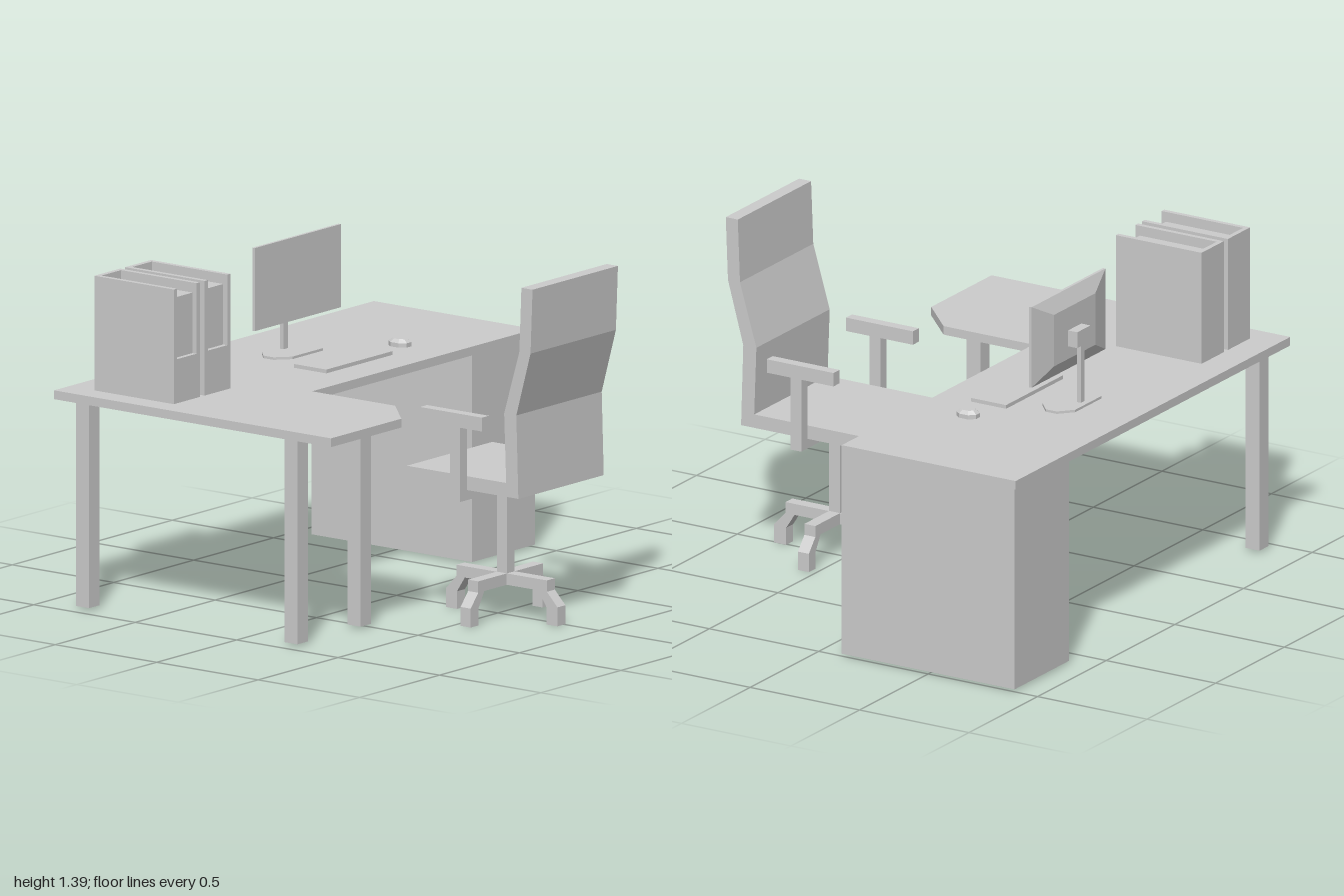
import * as THREE from 'three';

const material = new THREE.MeshStandardMaterial({ color: 0xcccccc, flatShading: true, side: THREE.DoubleSide });

function add(parent, name, geometry) {
  const mesh = new THREE.Mesh(geometry, material);
  mesh.name = name;
  parent.add(mesh);
  return mesh;
}

function group(parent, name) {
  const g = new THREE.Group();
  g.name = name;
  parent.add(g);
  return g;
}

// Box given by its limits on each axis
function box(parent, name, [x0, x1], [y0, y1], [z0, z1]) {
  const geometry = new THREE.BoxGeometry(x1 - x0, y1 - y0, z1 - z0);
  geometry.translate((x0 + x1) / 2, (y0 + y1) / 2, (z0 + z1) / 2);
  return add(parent, name, geometry);
}

function extrude(points, depth) {
  const shape = new THREE.Shape(points.map(([x, y]) => new THREE.Vector2(x, y)));
  return new THREE.ExtrudeGeometry(shape, { depth, bevelEnabled: false });
}

// Flat slab from an outline of [x, z] points
function slab(parent, name, outline, y0, y1) {
  const geometry = extrude(outline.map(([x, z]) => [x, -z]), y1 - y0);
  geometry.rotateX(-Math.PI / 2).translate(0, y0, 0);
  return add(parent, name, geometry);
}

// Rectangle with cut corners, centred on (cx, cz)
function octagon(cx, cz, w, d, cutX, cutZ) {
  const a = w / 2, b = d / 2;
  return [[-a + cutX, -b], [a - cutX, -b], [a, -b + cutZ], [a, b - cutZ],
    [a - cutX, b], [-a + cutX, b], [-a, b - cutZ], [-a, -b + cutZ]].map(([x, z]) => [cx + x, cz + z]);
}

// Scales the top (or back) end of a geometry about a centre
function taper(geometry, test, cx, cy, cz, s) {
  const p = geometry.attributes.position, c = new THREE.Vector3(cx, cy, cz), v = new THREE.Vector3();
  for (let i = 0; i < p.count; i++) {
    v.fromBufferAttribute(p, i);
    if (test(v)) {
      v.sub(c).multiply(s).add(c);
      p.setXYZ(i, v.x, v.y, v.z);
    }
  }
  geometry.computeVertexNormals();
}

function buildDesk(root) {
  const desk = group(root, 'desk');
  slab(desk, 'deskTop', [[-1, -0.9], [1, -0.9], [1, -0.105], [-0.395, -0.105],
    [-0.395, 0.305], [-0.56, 0.465], [-1, 0.465]], 0.83, 0.865);
  box(desk, 'cabinet', [0.605, 1], [0.01, 0.83], [-0.895, -0.105]);
  for (const [x, z] of [[-0.917, 0.228], [-0.522, 0.228], [-0.917, -0.8]]) {
    box(desk, 'deskLeg', [x - 0.033, x + 0.033], [0.01, 0.83], [z - 0.032, z + 0.032]);
  }
}

// Upright file holders: a shell open at the top and the upper front
function buildFiles(root) {
  for (const x of [-0.823, -0.631]) {
    const file = group(root, 'fileHolder');
    const w = 0.081, t = 0.02, y0 = 0.865, y1 = 1.32, z0 = -0.777, z1 = -0.385;
    for (const s of [-1, 1]) {
      box(file, 'fileSide', [x + s * (w - t / 2) - t / 2, x + s * (w - t / 2) + t / 2], [y0, y1], [z0, z1]);
    }
    box(file, 'fileBack', [x - w + t, x + w - t], [y0, y1], [z0, z0 + t]);
    box(file, 'fileFront', [x - w + t, x + w - t], [y0, 1.04], [z1 - t, z1]);
    box(file, 'papers', [x - w + t, x + w - t], [y0, 1.28], [z0 + t, z1 - t]);
  }
}

function buildComputer(root) {
  const cx = 0.097;
  const monitor = group(root, 'monitor');
  box(monitor, 'screen', [-0.172, 0.366], [1, 1.33], [-0.575, -0.563]);
  const shell = box(monitor, 'screenBack', [-0.172, 0.366], [1, 1.33], [-0.603, -0.575]);
  taper(shell.geometry, (v) => v.z < -0.59, cx, 1.16, 0, new THREE.Vector3(0.56, 0.64, 1));
  box(monitor, 'mount', [cx - 0.048, cx + 0.048], [1.11, 1.175], [-0.645, -0.603]);
  box(monitor, 'pole', [cx - 0.014, cx + 0.014], [0.87, 1.13], [-0.64, -0.622]);
  slab(monitor, 'monitorBase', octagon(cx, -0.59, 0.3, 0.15, 0.055, 0.05), 0.865, 0.875);

  box(root, 'keyboard', [-0.113, 0.3], [0.865, 0.88], [-0.417, -0.257]);

  const mouse = group(root, 'mouse');
  const outline = octagon(0.45, -0.338, 0.07, 0.09, 0.02, 0.025);
  slab(mouse, 'mouseBody', outline, 0.865, 0.882);
  const cap = slab(mouse, 'mouseTop', outline, 0.882, 0.895);
  taper(cap.geometry, (v) => v.y > 0.89, 0.45, 0, -0.338, new THREE.Vector3(0.6, 1, 0.65));
}

function buildChair(root) {
  const chair = group(root, 'chair');
  const cx = -0.024, cz = 0.552;

  // Seat and bent backrest as one [z, y] profile
  const profile = [[0.28, 0.55], [0.83, 0.55], [0.82, 0.88], [0.89, 1.135], [0.9, 1.39],
    [0.845, 1.39], [0.835, 1.135], [0.76, 0.88], [0.77, 0.605], [0.28, 0.605]];
  const seat = extrude(profile, 0.534);
  seat.translate(0, 0, -0.267).rotateY(-Math.PI / 2).translate(cx, 0, 0);
  add(chair, 'seatAndBackrest', seat);

  // Armrests on a bracket under the seat
  box(chair, 'armBracket', [cx - 0.311, cx + 0.311], [0.51, 0.55], [cz - 0.025, cz + 0.025]);
  for (const s of [-1, 1]) {
    const xs = [cx + s * 0.289 - 0.022, cx + s * 0.289 + 0.022];
    box(chair, 'armPost', xs, [0.55, 0.805], [cz - 0.025, cz + 0.025]);
    box(chair, 'armrest', xs, [0.805, 0.86], [0.38, 0.685]);
  }

  // Column and four-footed base
  box(chair, 'column', [cx + 0.006 - 0.023, cx + 0.006 + 0.023], [0.13, 0.51], [cz - 0.025, cz + 0.025]);
  const legProfile = [[0, 0.13], [0.165, 0.13], [0.2, 0.07], [0.2, 0], [0.25, 0],
    [0.25, 0.075], [0.203, 0.13], [0.203, 0.175], [0, 0.175]];
  for (let i = 0; i < 4; i++) {
    const stretch = i % 2 ? 1.1 : 1;
    const leg = extrude(legProfile.map(([r, y]) => [r * stretch, y]), 0.05);
    leg.translate(0, 0, -0.025).rotateY(i * Math.PI / 2).translate(cx + 0.006, 0, cz);
    add(chair, 'chairLeg', leg);
  }
}

export function createModel() {
  const root = new THREE.Group();
  root.name = 'officeWorkplace';
  buildDesk(root);
  buildFiles(root);
  buildComputer(root);
  buildChair(root);
  return root;
}
